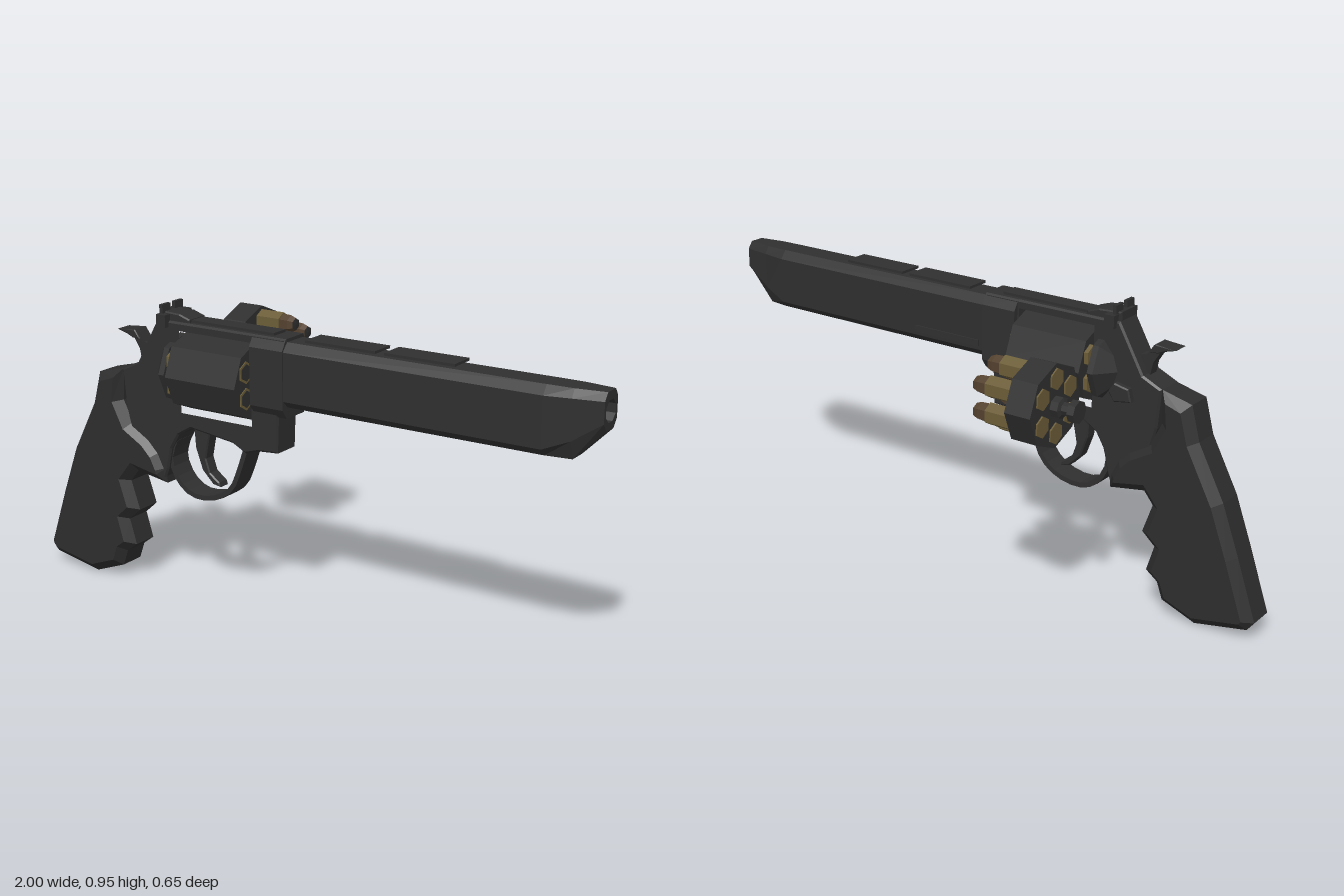
import * as THREE from 'three';

const mat = (name, color) => {
  const m = new THREE.MeshStandardMaterial({ color, flatShading: true });
  m.name = name;
  return m;
};

export function createModel() {
  const steel = mat('dark steel', 0x2f2f2f);
  const rubber = mat('black rubber', 0x2d2d2d);
  const brass = mat('brass', 0x6b5d38);
  const copper = mat('copper', 0x54412f);
  const model = new THREE.Group();
  const gun = new THREE.Group();
  gun.name = 'revolver';
  gun.position.z = 0.195;
  const holder = new THREE.Group();
  holder.name = 'cartridgeHolder';
  holder.position.z = -0.195;
  model.add(gun, holder);

  const add = (parent, name, geo, material, x = 0, y = 0, z = 0) => {
    const m = new THREE.Mesh(geo, material);
    m.name = name;
    m.position.set(x, y, z);
    parent.add(m);
    return m;
  };
  const vec = (pts) => pts.map(([x, y]) => new THREE.Vector2(x, y));

  // side outline extruded symmetrically across z, with chamfered edges
  const plate = (name, pts, half, bevel, material, hole) => {
    const shape = new THREE.Shape(vec(pts));
    if (hole) shape.holes.push(new THREE.Path(vec(hole)));
    const geo = new THREE.ExtrudeGeometry(shape, {
      depth: 2 * (half - bevel), bevelEnabled: bevel > 0, bevelThickness: bevel,
      bevelSize: bevel, bevelOffset: -bevel, bevelSegments: 1,
    });
    geo.translate(0, 0, bevel - half);
    return add(gun, name, geo, material);
  };
  const box = (name, x0, x1, y0, y1, half, z = 0) =>
    add(gun, name, new THREE.BoxGeometry(x1 - x0, y1 - y0, half * 2), steel, (x0 + x1) / 2, (y0 + y1) / 2, z);

  // faceted turning along x from [x, radius] pairs
  const turned = (parent, name, profile, sides, material, y, z = 0) => {
    const geo = new THREE.LatheGeometry(vec(profile.map(([x, r]) => [r, x])), sides, Math.PI / 2);
    geo.rotateZ(-Math.PI / 2);
    return add(parent, name, geo, material, 0, y, z);
  };

  // skin over rings [x, [[y, z], ...]] that share one point count
  const loft = (name, rings) => {
    const pos = [];
    const p = (k, i) => {
      const [x, ring] = rings[k];
      return [x, ...ring[i % ring.length]];
    };
    for (let k = 0; k < rings.length - 1; k++) {
      for (let i = 0; i < rings[k][1].length; i++) {
        const a = p(k, i), b = p(k, i + 1), c = p(k + 1, i + 1), d = p(k + 1, i);
        pos.push(...a, ...b, ...d, ...b, ...c, ...d);
      }
    }
    const geo = new THREE.BufferGeometry();
    geo.setAttribute('position', new THREE.Float32BufferAttribute(pos, 3));
    geo.computeVertexNormals();
    return add(gun, name, geo, steel);
  };
  // chamfered ring: heights of top, shoulders and bottom, then their half widths
  const section = (t, u, l, b, wt, w, wl, wb) =>
    [[t, wt], [u, w], [l, wl], [b, wb], [b, -wb], [l, -wl], [u, -w], [t, -wt]];
  const dot = (y) => Array.from({ length: 8 }, () => [y, 0]);
  const bore = Array.from({ length: 8 }, (_, i) => {
    const a = (i + 0.5) * Math.PI / 4;
    return [0.838 + 0.034 * Math.cos(a), 0.034 * Math.sin(a)];
  });

  // barrel with tapered, undercut muzzle and open bore
  const full = section(0.895, 0.868, 0.717, 0.695, 0.04, 0.062, 0.062, 0.04);
  loft('barrel', [
    [-0.03, dot(0.8)], [-0.03, full], [0.83, full],
    [0.91, section(0.895, 0.87, 0.75, 0.695, 0.038, 0.053, 0.05, 0.03)],
    [1, section(0.895, 0.872, 0.81, 0.785, 0.025, 0.042, 0.042, 0.022)],
    [1, bore], [0.8, bore], [0.8, dot(0.838)],
  ]);
  box('sightRibRear', 0.05, 0.29, 0.902, 0.91, 0.042);
  box('sightRibFront', 0.32, 0.55, 0.902, 0.91, 0.042);
  box('ejectorRod', 0, 0.25, 0.73, 0.75, 0.005, -0.062);

  // frame with cylinder window
  plate('frame', [
    [-0.5, 0.905], [-0.015, 0.905], [-0.015, 0.73], [-0.045, 0.66], [-0.05, 0.545],
    [-0.12, 0.54], [-0.17, 0.525], [-0.22, 0.55], [-0.38, 0.57], [-0.43, 0.54], [-0.46, 0.49],
    [-0.475, 0.42], [-0.49, 0.38], [-0.59, 0.41], [-0.64, 0.6], [-0.65, 0.725],
    [-0.585, 0.755], [-0.52, 0.87],
  ], 0.05, 0.006, steel, [[-0.42, 0.61], [-0.42, 0.884], [-0.136, 0.884], [-0.136, 0.61]]);
  const collar = section(0.905, 0.87, 0.69, 0.66, 0.045, 0.066, 0.066, 0.045);
  loft('frameCollar', [[-0.136, dot(0.8)], [-0.136, collar], [-0.016, collar], [-0.016, dot(0.8)]]);
  turned(gun, 'recoilShield', [[-0.5, 0], [-0.5, 0.05], [-0.45, 0.112], [-0.43, 0.112], [-0.43, 0]], 8, steel, 0.748);
  plate('cylinderLatch', [[-0.56, 0.67], [-0.5, 0.66], [-0.48, 0.69], [-0.5, 0.72], [-0.55, 0.71]],
    0.012, 0.004, steel).position.z = -0.058;

  // trigger guard: a thin band along a curve
  const curve = new THREE.SplineCurve(vec([
    [-0.175, 0.54], [-0.2, 0.47], [-0.235, 0.395], [-0.3, 0.353], [-0.38, 0.345], [-0.44, 0.38], [-0.472, 0.45], [-0.45, 0.52],
  ]));
  const outer = [], inner = [];
  for (let i = 0; i <= 16; i++) {
    const p = curve.getPoint(i / 16), t = curve.getTangent(i / 16);
    outer.push([p.x - t.y * 0.008, p.y + t.x * 0.008]);
    inner.unshift([p.x + t.y * 0.008, p.y - t.x * 0.008]);
  }
  plate('triggerGuard', [...outer, ...inner], 0.038, 0, steel);
  plate('trigger', [
    [-0.39, 0.58], [-0.385, 0.5], [-0.36, 0.43], [-0.32, 0.39], [-0.29, 0.385],
    [-0.295, 0.4], [-0.33, 0.425], [-0.345, 0.47], [-0.335, 0.52], [-0.32, 0.58],
  ], 0.022, 0.004, steel);

  // hammer with wide thumb spur
  plate('hammer', [
    [-0.625, 0.83], [-0.6, 0.845], [-0.58, 0.815], [-0.53, 0.8], [-0.5, 0.76], [-0.59, 0.74], [-0.6, 0.79],
  ], 0.018, 0, steel);
  plate('hammerSpur', [[-0.68, 0.847], [-0.61, 0.853], [-0.59, 0.825], [-0.62, 0.826], [-0.645, 0.837]], 0.03, 0.003, steel);

  // rear sight
  box('sightLeaf', -0.4, -0.07, 0.9, 0.913, 0.03);
  plate('sightBody', [[-0.5, 0.89], [-0.38, 0.89], [-0.38, 0.915], [-0.42, 0.928], [-0.5, 0.932]], 0.04, 0.004, steel);
  box('sightBlade', -0.49, -0.455, 0.885, 0.925, 0.066);
  for (const s of [-1, 1]) box('sightPost', -0.488, -0.476, 0.92, 0.953, 0.02, s * 0.031);

  // contoured grip with finger grooves
  plate('grip', [
    [-0.65, 0.725], [-0.75, 0.7], [-0.78, 0.59], [-0.87, 0.42], [-0.93, 0.26], [-0.998, 0.065],
    [-0.975, 0.035], [-0.8, 0.001], [-0.685, 0.045], [-0.665, 0.1], [-0.625, 0.13], [-0.65, 0.215],
    [-0.605, 0.255], [-0.637, 0.35], [-0.605, 0.39], [-0.485, 0.37], [-0.485, 0.42], [-0.51, 0.47],
    [-0.55, 0.51], [-0.62, 0.55], [-0.655, 0.62],
  ], 0.07, 0.028, rubber);

  // cylinder
  turned(gun, 'cylinder', [[-0.412, 0], [-0.412, 0.128], [-0.148, 0.128], [-0.148, 0]], 8, steel, 0.748);

  // cartridge holder body and knob
  turned(holder, 'holderBody', [[-0.505, 0], [-0.505, 0.128], [-0.418, 0.128], [-0.418, 0]], 8, steel, 0.748);
  turned(holder, 'holderKnob', [
    [-0.585, 0], [-0.585, 0.034], [-0.562, 0.034], [-0.558, 0.02], [-0.535, 0.02], [-0.53, 0.032], [-0.505, 0.032],
  ], 8, steel, 0.748);

  // six cartridges in both the cylinder and the holder
  for (let i = 0; i < 6; i++) {
    const a = i * Math.PI / 3;
    const y = 0.748 + 0.082 * Math.cos(a), z = 0.08 * Math.sin(a);
    turned(gun, 'cartridgeRim', [[-0.426, 0], [-0.426, 0.035], [-0.411, 0.035]], 6, brass, y, z);
    turned(gun, 'chamberEdge', [[-0.149, 0.035], [-0.145, 0.035], [-0.145, 0.026]], 6, brass, y, z);
    turned(gun, 'chamberFace', [[-0.149, 0.027], [-0.144, 0.027], [-0.144, 0]], 6, steel, y, z);
    turned(holder, 'cartridgeBase', [[-0.51, 0], [-0.51, 0.033], [-0.504, 0.033]], 6, brass, y, z);
    turned(holder, 'cartridgeCase', [[-0.42, 0.034], [-0.33, 0.034], [-0.33, 0.029]], 6, brass, y, z);
    turned(holder, 'bulletTip', [[-0.332, 0.03], [-0.3, 0.028], [-0.282, 0.021]], 6, copper, y, z);
    turned(holder, 'bulletNose', [[-0.282, 0.021], [-0.28, 0]], 6, steel, y, z);
  }
  return model;
}
